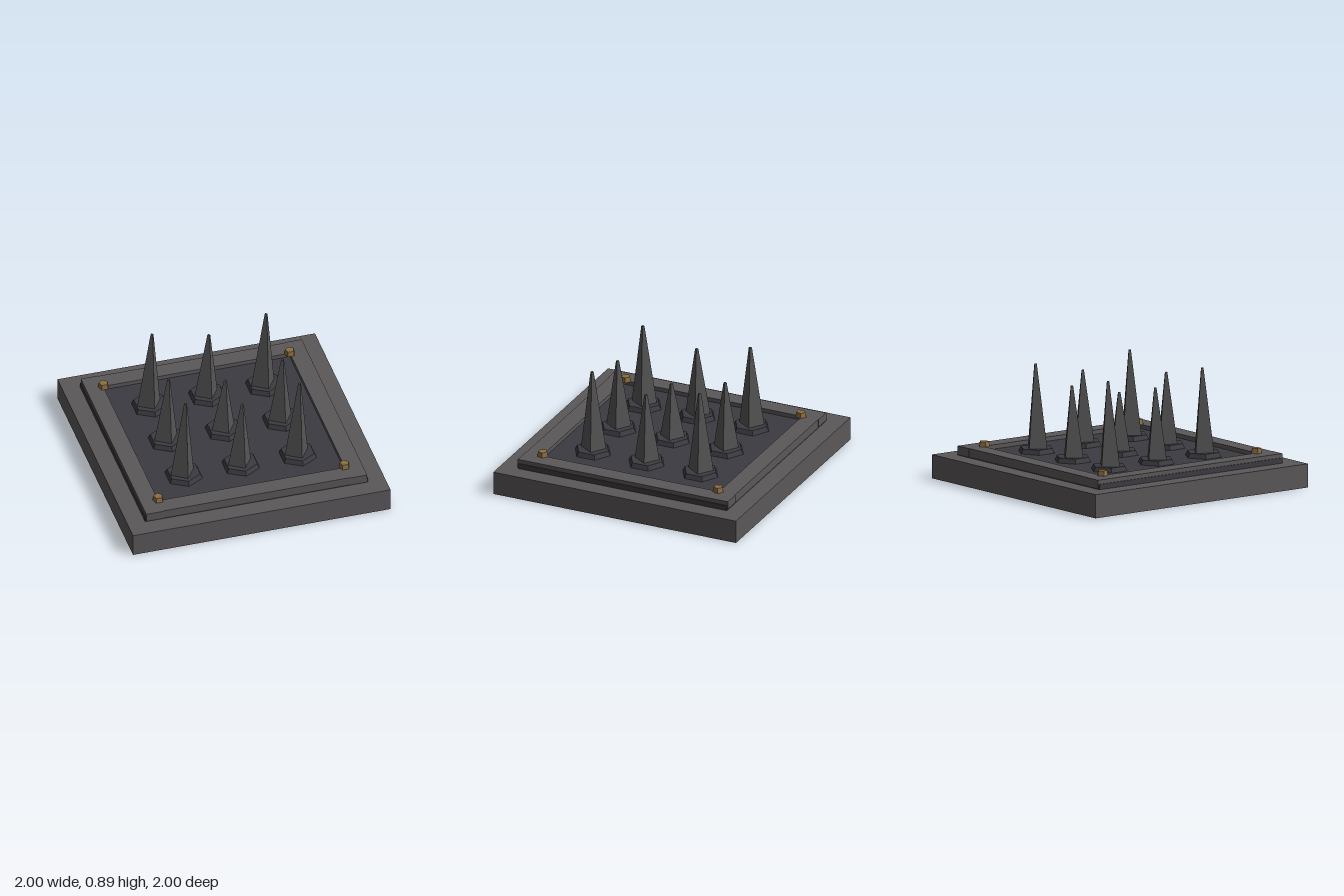
import * as THREE from 'three';

const flat = (name, color) => {
  const m = new THREE.MeshStandardMaterial({ color, flatShading: true });
  m.name = name;
  return m;
};

export function createModel() {
  const stone = flat('stone grey', 0x5b585a);
  const iron = flat('dark iron', 0x3c3b41);
  const steel = flat('spike steel', 0x555454);
  const brass = flat('brass', 0x8c6e40);
  const model = new THREE.Group();
  model.name = 'spikeTrap';

  const add = (name, geometry, material, x, y, z) => {
    const mesh = new THREE.Mesh(geometry, material);
    mesh.name = name;
    mesh.position.set(x, y, z);
    model.add(mesh);
    return mesh;
  };
  // Box given by its bottom and top heights
  const slab = (name, w, d, y0, y1, material, x = 0, z = 0) =>
    add(name, new THREE.BoxGeometry(w, y1 - y0, d), material, x, (y0 + y1) / 2, z);

  // Stone base and iron plate
  slab('base', 2, 2, 0, 0.18, stone);
  slab('plate', 1.73, 1.722, 0.18, 0.22, iron);

  // Raised border: long side rails and shorter front and back rails between them
  for (const s of [-1, 1]) {
    slab('sideRail', 0.133, 1.734, 0.19, 0.252, stone, s * 0.7915, 0);
    slab('crossRail', 1.45, 0.132, 0.19, 0.252, stone, 0, s * 0.796);
  }

  // Five-sided bolts on the corners
  const boltGeometry = new THREE.CylinderGeometry(0.036, 0.043, 0.04, 5);
  for (const x of [-0.723, 0.723]) {
    for (const z of [-0.723, 0.723]) {
      add('bolt', boltGeometry, brass, x, 0.271, z).rotation.y = Math.PI;
    }
  }

  // Grid of leaning four-sided spikes in six-sided collars, tallest at the corners
  const collarGeometry = new THREE.CylinderGeometry(0.128, 0.146, 0.036, 6);
  const bottom = 0.21;
  for (const i of [-1, 0, 1]) {
    for (const j of [-1, 0, 1]) {
      const x = i * 0.443, z = j * 0.443;
      const height = 0.478 + 0.1 * (Math.abs(i) + Math.abs(j));
      add('collar', collarGeometry, iron, x, 0.237, z);
      const spike = add('spike', new THREE.CylinderGeometry(0.012, 0.102, height, 4),
        steel, x, bottom + height / 2, z);
      spike.rotation.set(0, 0.2, -0.04, 'ZYX');
    }
  }
  return model;
}
